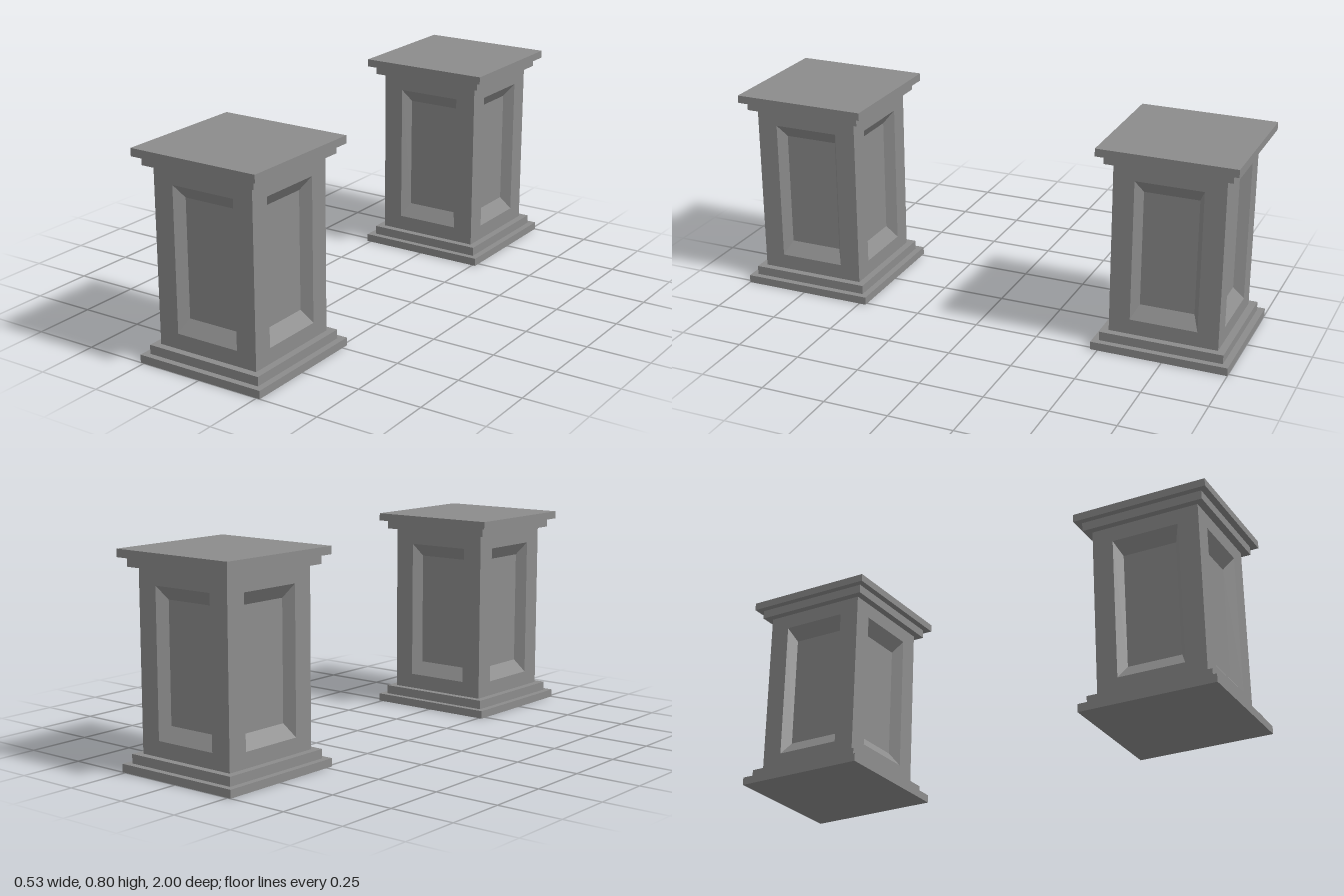
import * as THREE from 'three';

const stone = new THREE.MeshStandardMaterial({ color: 0x8c8c8c });
stone.name = 'grey stone';

const SHAFT = 0.211; // half width of the shaft

// One shaft side: flat frame, bevelled surround and sunken panel, as nested rectangles
function panelSide() {
  const rings = [
    { w: SHAFT, y0: 0.066, y1: 0.736, z: SHAFT },
    { w: 0.13, y0: 0.125, y1: 0.677, z: SHAFT },
    { w: 0.105, y0: 0.176, y1: 0.626, z: SHAFT - 0.038 },
  ].map(({ w, y0, y1, z }) => [[-w, y0, z], [w, y0, z], [w, y1, z], [-w, y1, z]]);
  const pos = [];
  const quad = (a, b, c, d) => pos.push(...a, ...b, ...c, ...a, ...c, ...d);
  for (let r = 0; r < 2; r++) {
    for (let i = 0; i < 4; i++) {
      const j = (i + 1) % 4;
      quad(rings[r][i], rings[r][j], rings[r + 1][j], rings[r + 1][i]);
    }
  }
  quad(...rings[2]);
  const geo = new THREE.BufferGeometry();
  geo.setAttribute('position', new THREE.Float32BufferAttribute(pos, 3));
  geo.computeVertexNormals();
  return geo;
}

function slab(name, half, y0, y1) {
  const mesh = new THREE.Mesh(new THREE.BoxGeometry(half * 2, y1 - y0, half * 2), stone);
  mesh.position.y = (y0 + y1) / 2;
  mesh.name = name;
  return mesh;
}

function pedestal(name) {
  const group = new THREE.Group();
  group.name = name;

  // Stepped base and cap
  group.add(
    slab('baseSlab', 0.264, 0, 0.031),
    slab('baseStep', 0.239, 0.031, 0.066),
    slab('capStep', 0.239, 0.736, 0.77),
    slab('capSlab', 0.264, 0.77, 0.8),
  );

  // Four panelled shaft sides
  const side = panelSide();
  for (let i = 0; i < 4; i++) {
    const mesh = new THREE.Mesh(side, stone);
    mesh.rotation.y = (i * Math.PI) / 2;
    mesh.name = 'shaftSide' + (i + 1);
    group.add(mesh);
  }
  return group;
}

export function createModel() {
  const model = new THREE.Group();
  model.name = 'pedestalPair';
  for (const [name, z] of [['frontPedestal', 0.736], ['backPedestal', -0.736]]) {
    const p = pedestal(name);
    p.position.z = z;
    model.add(p);
  }
  return model;
}
